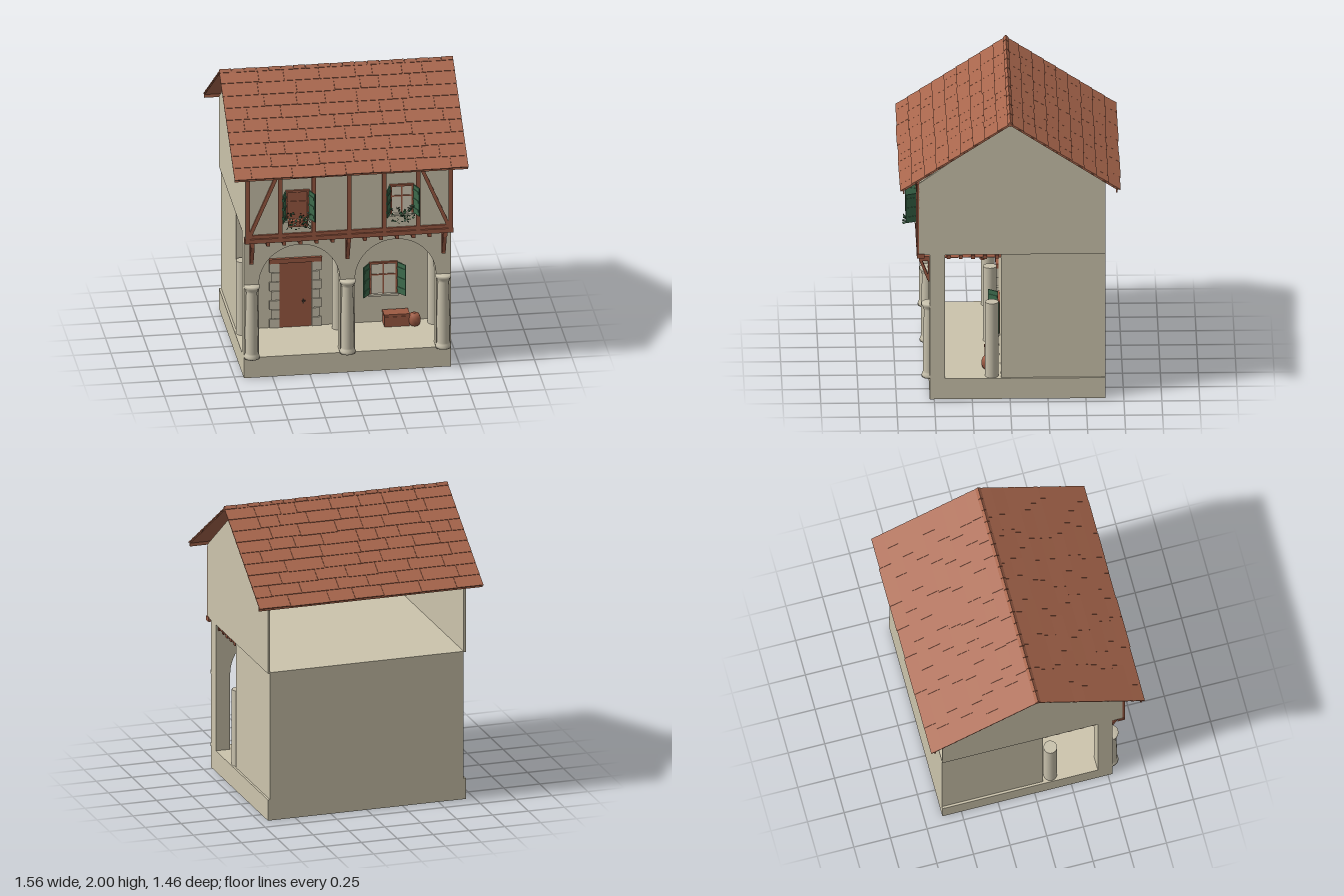
import * as THREE from 'three';
import { mergeGeometries } from 'three/addons/utils/BufferGeometryUtils.js';

const mat = (name, color, extra = {}) => new THREE.MeshStandardMaterial({ name, color, ...extra });

export function createModel() {
  const M = {
    wall: mat('plaster', 0xccc4ac),
    stone: mat('stone', 0xc8c1ac),
    wood: mat('timber', 0x9c5a43),
    roof: mat('roofTile', 0xa8664c),
    green: mat('shutterGreen', 0x3c6a4c),
    leaf: mat('leaf', 0x2f5538, { side: THREE.DoubleSide }),
    iron: mat('iron', 0x44352c),
    glass: mat('glass', 0xd6cfba),
  };
  const house = new THREE.Group();
  house.name = 'arcadedHouse';
  let seed = 7;
  const rnd = () => (seed = (seed * 16807) % 2147483647) / 2147483647;

  const add = (name, geo, material, parent = house) => {
    const m = new THREE.Mesh(geo, material);
    m.name = name;
    parent.add(m);
    return m;
  };
  // box given by its minimum and maximum on each axis
  const box = (name, x0, x1, y0, y1, z0, z1, material, parent) => {
    const m = add(name, new THREE.BoxGeometry(x1 - x0, y1 - y0, z1 - z0), material, parent);
    m.position.set((x0 + x1) / 2, (y0 + y1) / 2, (z0 + z1) / 2);
    return m;
  };
  // square bar between two points
  const bar = (name, a, b, w, d, material) => {
    const p = new THREE.Vector3(...a), q = new THREE.Vector3(...b);
    const m = add(name, new THREE.BoxGeometry(w, p.distanceTo(q), d), material);
    m.position.copy(p).add(q).multiplyScalar(0.5);
    m.quaternion.setFromUnitVectors(new THREE.Vector3(0, 1, 0), q.sub(p).normalize());
    return m;
  };
  const group = (name, x, y, z, parent = house) => {
    const g = new THREE.Group();
    g.name = name;
    g.position.set(x, y, z);
    parent.add(g);
    return g;
  };

  // base, ground-floor room and upper floor
  box('plinth', -0.69, 0.69, 0, 0.145, -0.63, 0.53, M.wall);
  box('groundRoom', -0.675, 0.675, 0.145, 1.03, -0.63, 0.06, M.wall);
  box('upperFloor', -0.675, 0.675, 1.024, 1.03, 0.06, 0.59, M.wall);

  // arcade wall with two round arches
  const arcade = new THREE.Shape();
  arcade.moveTo(-0.69, 0.145);
  for (const c of [-0.32, 0.32]) {
    arcade.lineTo(c - 0.27, 0.145);
    arcade.lineTo(c - 0.27, 0.67);
    arcade.absarc(c, 0.67, 0.27, Math.PI, 0, true);
    arcade.lineTo(c + 0.27, 0.145);
  }
  arcade.lineTo(0.69, 0.145);
  arcade.lineTo(0.69, 1.024);
  arcade.lineTo(-0.69, 1.024);
  add('arcadeWall', new THREE.ExtrudeGeometry(arcade, { depth: 0.1, bevelEnabled: false, curveSegments: 12 }), M.wall)
    .position.z = 0.43;

  // front columns with base and capital, plain columns behind them
  const profile = [[0, 0], [0.052, 0], [0.052, 0.015], [0.046, 0.03], [0.042, 0.04], [0.044, 0.2], [0.036, 0.475],
    [0.042, 0.482], [0.038, 0.49], [0.052, 0.505], [0.052, 0.525], [0, 0.525]].map(p => new THREE.Vector2(...p));
  for (const x of [-0.638, 0, 0.638]) {
    add('frontColumn', new THREE.LatheGeometry(profile, 20), M.stone).position.set(x, 0.145, 0.531);
    add('rearColumn', new THREE.CylinderGeometry(0.045, 0.045, 0.525, 20), M.stone).position.set(x, 0.4075, 0.12);
  }

  // porch ceiling and its beams
  box('porchCeiling', -0.675, 0.675, 0.997, 1.0, 0.06, 0.43, M.wood);
  for (let i = 0; i < 5; i++) {
    const z = 0.085 + i * 0.08;
    box('porchBeam', -0.68, 0.68, 0.99, 1.015, z - 0.0125, z + 0.0125, M.wood);
  }

  // upper storey: gable walls and front wall, open at the back
  const gable = new THREE.Shape([[0.63, 1.024], [-0.6, 1.024], [-0.6, 1.53], [0, 1.965], [0.63, 1.525]]
    .map(p => new THREE.Vector2(...p)));
  for (const x of [-0.69, 0.675]) {
    const g = add('gableWall', new THREE.ExtrudeGeometry(gable, { depth: 0.015, bevelEnabled: false }), M.wall);
    g.rotation.y = Math.PI / 2;
    g.position.x = x;
  }
  box('upperFrontWall', -0.675, 0.675, 1.03, 1.53, 0.585, 0.6, M.wall);

  // half-timbering
  box('sillBeam', -0.695, 0.695, 1.0, 1.03, 0.565, 0.615, M.wood);
  box('lowerRail', -0.685, 0.685, 1.034, 1.058, 0.598, 0.613, M.wood);
  box('topRail', -0.685, 0.685, 1.495, 1.525, 0.598, 0.613, M.wood);
  for (const x of [-0.676, -0.46, -0.235, 0, 0.235, 0.46, 0.676])
    box('timberPost', x - 0.014, x + 0.014, 1.03, 1.51, 0.598, 0.615, M.wood);
  for (const s of [-1, 1])
    bar('timberBrace', [s * 0.66, 1.055, 0.606], [s * 0.475, 1.49, 0.606], 0.024, 0.013, M.wood);

  // joist ends and brackets under the overhang
  for (let i = 0; i < 13; i++) {
    const x = -0.645 + i * 0.1075;
    box('joistEnd', x - 0.012, x + 0.012, 0.97, 1.0, 0.53, 0.6, M.wood);
  }
  for (const x of [-0.64, 0, 0.64]) {
    box('bracketPost', x - 0.012, x + 0.012, 0.82, 0.97, 0.528, 0.54, M.wood);
    box('bracketArm', x - 0.012, x + 0.012, 0.965, 0.99, 0.53, 0.6, M.wood);
    bar('bracketBrace', [x, 0.835, 0.537], [x, 0.968, 0.588], 0.024, 0.018, M.wood);
  }

  // window with frame, panes and opened shutters
  const makeWindow = (x, y, z, w, h, swing, closed) => {
    const g = group('window', x, y, z);
    const a = w / 2, b = h / 2, t = 0.014;
    box('pane', -a, a, -b, b, 0, 0.005, closed ? M.wood : M.glass, g);
    for (const s of [-1, 1]) {
      box('frameSide', s * a - t / 2, s * a + t / 2, -b, b, 0, 0.014, M.wood, g);
      const shutter = group('shutter', s * (a + 0.006), 0, 0.008, g);
      shutter.rotation.y = s > 0 ? -swing : swing - Math.PI;
      box('shutterPanel', 0, 0.08, -b, b, -0.004, 0.004, M.green, shutter);
      for (const e of [-0.65, 0, 0.65])
        box('shutterBatten', 0.006, 0.074, e * b - 0.008, e * b + 0.008, -0.008, 0.008, M.green, shutter);
    }
    box('frameTop', -a - 0.007, a + 0.007, b - t / 2, b + t / 2, 0, 0.015, M.wood, g);
    box('mullion', -0.005, 0.005, -b, b, 0, 0.011, M.wood, g);
    box('transom', -a, a, b * 0.2, b * 0.2 + 0.008, 0, 0.011, M.wood, g);
    box('windowSill', -a - 0.012, a + 0.012, -b - 0.014, -b, 0, 0.025, M.stone, g);
  };
  makeWindow(0.305, 0.46, 0.06, 0.175, 0.22, 0.94, false);
  makeWindow(-0.345, 1.26, 0.6, 0.145, 0.2, 1.2, true);
  makeWindow(0.35, 1.26, 0.6, 0.145, 0.2, 1.2, false);

  // flower boxes with small leaves
  for (const [x, y, withBox] of [[-0.345, 1.15, true], [0.35, 1.15, false]]) {
    if (withBox) box('flowerBox', x - 0.065, x + 0.065, y - 0.028, y + 0.012, 0.615, 0.655, M.wood);
    const leaves = [];
    for (let i = 0; i < 70; i++) {
      const leaf = new THREE.CircleGeometry(0.006 + rnd() * 0.005, 5);
      leaf.rotateX(rnd() * 3).rotateY(rnd() * 3);
      const out = rnd();
      leaf.translate(x + (rnd() - 0.5) * 0.16, y + 0.06 - out * 0.075 + (rnd() - 0.5) * 0.03, 0.625 + out * 0.075);
      leaves.push(leaf);
    }
    add('flowerLeaves', mergeGeometries(leaves), M.leaf);
  }

  // door with stone jambs and lintel
  box('door', -0.39, -0.17, 0.145, 0.61, 0.058, 0.066, M.wood);
  for (let i = 0; i < 7; i++) {
    const y = 0.145 + i * 0.0664, w = i % 2 ? 0.05 : 0.064;
    box('jambStone', -0.39 - w, -0.388, y + 0.002, y + 0.064, 0.055, 0.074, M.stone);
    box('jambStone', -0.172, -0.17 + w, y + 0.002, y + 0.064, 0.055, 0.074, M.stone);
  }
  box('doorLintel', -0.455, -0.105, 0.61, 0.642, 0.055, 0.08, M.wood);
  box('doorHandle', -0.235, -0.215, 0.325, 0.333, 0.066, 0.078, M.iron);
  box('doorPlate', -0.232, -0.224, 0.31, 0.345, 0.064, 0.07, M.iron);

  // chest and barrel on the porch
  box('chest', 0.3, 0.465, 0.145, 0.215, 0.075, 0.16, M.wood);
  box('chestLid', 0.297, 0.468, 0.218, 0.234, 0.072, 0.163, M.wood);
  const barrel = [[0, 0], [0.03, 0], [0.041, 0.025], [0.041, 0.055], [0.03, 0.08], [0, 0.08]];
  add('barrel', new THREE.LatheGeometry(barrel.map(p => new THREE.Vector2(...p)), 10).toNonIndexed(), M.wood)
    .position.set(0.502, 0.145, 0.145);

  // hanging lantern on an iron arm
  bar('lanternArm', [0, 0.818, 0.06], [0, 0.818, 0.185], 0.008, 0.008, M.iron);
  bar('lanternStay', [0, 0.75, 0.06], [0, 0.815, 0.13], 0.006, 0.006, M.iron);
  const lantern = group('lantern', 0, 0.72, 0.168);
  const cylinder = (name, r0, r1, h, y, material) =>
    (add(name, new THREE.CylinderGeometry(r0, r1, h, 6), material, lantern).position.y = y);
  cylinder('lanternBase', 0.02, 0.02, 0.01, 0.005, M.wood);
  cylinder('lanternGlass', 0.018, 0.014, 0.055, 0.037, M.glass);
  cylinder('lanternCap', 0.006, 0.023, 0.024, 0.076, M.wood);
  cylinder('lanternHook', 0.003, 0.003, 0.015, 0.094, M.iron);
  for (let i = 0; i < 6; i++) {
    const a = i * Math.PI / 3;
    bar('lanternRib', [0.014 * Math.sin(a), 0.728, 0.168 + 0.014 * Math.cos(a)],
      [0.018 * Math.sin(a), 0.786, 0.168 + 0.018 * Math.cos(a)], 0.004, 0.004, M.wood);
  }

  // roof: two slopes with irregular overlapping tiles and an eaves board
  const length = 0.86, rows = 9, step = length / rows;
  for (const turn of [0, Math.PI]) {
    const side = group('roofSlope', 0, 0, 0);
    side.rotation.y = turn;
    const slope = group('slope', 0, 1.98, 0, side);
    slope.rotation.x = Math.atan2(0.47, 0.72);
    box('roofDeck', -0.775, 0.775, -0.008, -0.002, 0, length - 0.008, M.roof, slope);
    const tiles = [];
    for (let r = 0; r < rows; r++) {
      let x = -0.78;
      while (x < 0.779) {
        let w = 0.11 + rnd() * 0.17;
        if (0.78 - x - w < 0.08) w = 0.78 - x;
        const tile = new THREE.BoxGeometry(w - 0.0015, 0.007, step + 0.012);
        tile.rotateX(-0.05 + rnd() * 0.015);
        tile.translate(x + w / 2, 0.003, (r + 0.5) * step + (rnd() - 0.5) * 0.008);
        tiles.push(tile);
        x += w;
      }
    }
    add('roofTiles', mergeGeometries(tiles), M.roof, slope);
    box('eavesBoard', -0.778, 0.778, 1.492, 1.516, 0.698, 0.708, M.roof, side);
  }

  // ridge tiles
  const count = 19, pitch = 1.56 / count;
  for (let i = 0; i < count; i++) {
    const tile = add('ridgeTile', new THREE.BoxGeometry(pitch - 0.004, 0.026, 0.026), M.roof);
    tile.rotation.x = Math.PI / 4;
    tile.position.set(-0.78 + (i + 0.5) * pitch, 1.9815 - (i % 2) * 0.002, 0);
  }
  return house;
}
